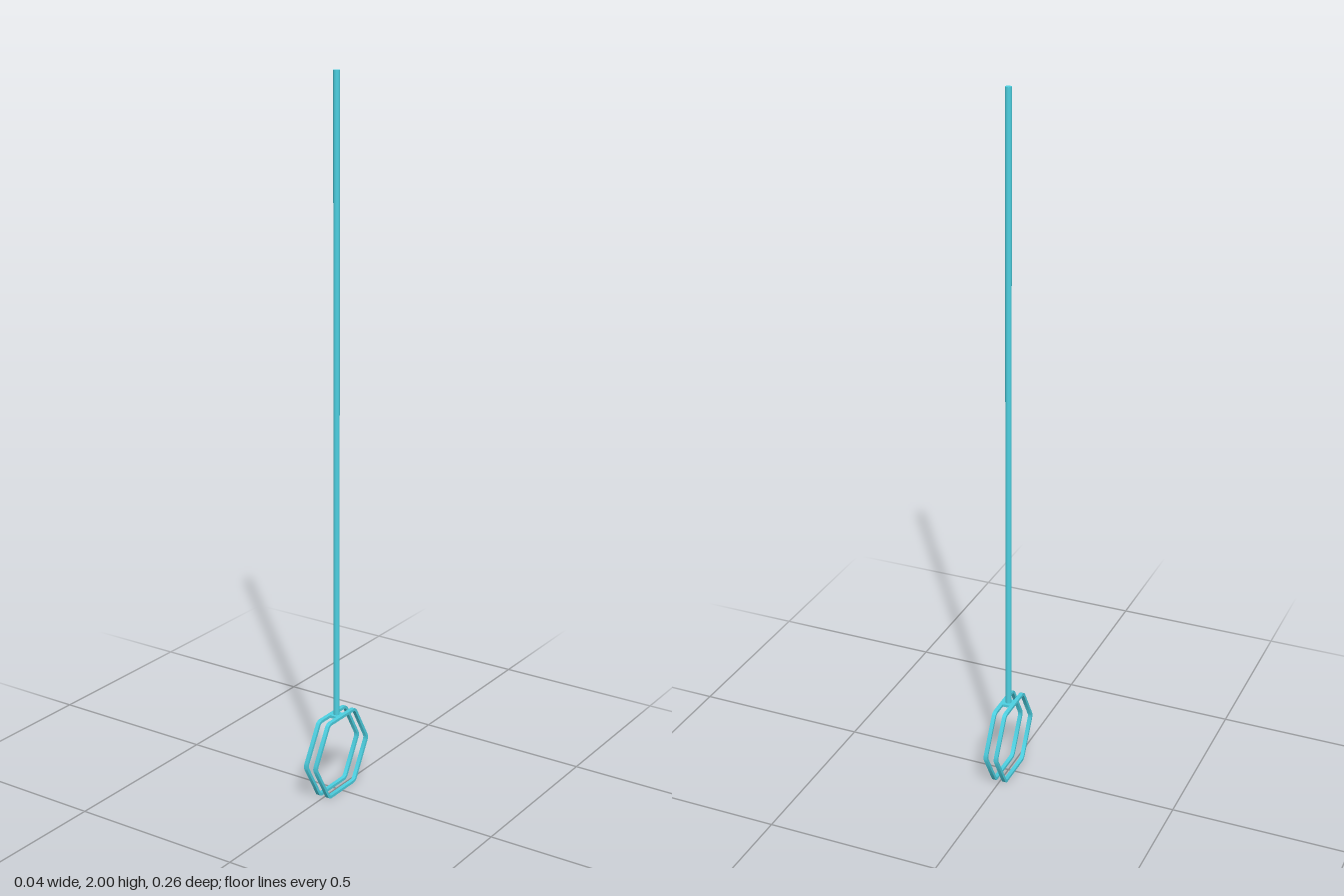
import * as THREE from 'three';
import { toCreasedNormals } from 'three/addons/utils/BufferGeometryUtils.js';

const APOTHEM = 0.115, WALL = 0.008, RING_WIDTH = 0.011, RING_X = 0.0155;

// Hexagon with rounded corners, flat side up
function roundedHexagon(target, apothem, corner) {
  const inner = (apothem - corner) / Math.cos(Math.PI / 6);
  for (let i = 0; i < 6; i++) {
    const a = i * Math.PI / 3;
    target.absarc(inner * Math.cos(a), inner * Math.sin(a), corner, a - Math.PI / 6, a + Math.PI / 6, false);
  }
  target.closePath();
  return target;
}

export function createModel() {
  const group = new THREE.Group();
  const material = new THREE.MeshStandardMaterial({ color: 0x4dd0e1 });
  const add = (name, geometry, x, y, z) => {
    const mesh = new THREE.Mesh(geometry, material);
    mesh.name = name;
    mesh.position.set(x, y, z);
    group.add(mesh);
  };

  // Pair of hexagonal hoops, side by side
  const outline = roundedHexagon(new THREE.Shape(), APOTHEM, 0.02);
  outline.holes.push(roundedHexagon(new THREE.Path(), APOTHEM - WALL, 0.012));
  let hoop = new THREE.ExtrudeGeometry(outline, { depth: RING_WIDTH, bevelEnabled: false, curveSegments: 6 });
  hoop.translate(0, 0, -RING_WIDTH / 2);
  hoop.rotateY(Math.PI / 2);
  hoop = toCreasedNormals(hoop, Math.PI / 5);
  add('leftHoop', hoop, RING_X, APOTHEM, 0);
  add('rightHoop', hoop, -RING_X, APOTHEM, 0);

  // Bridge joining the hoops under the rod
  const top = APOTHEM * 2;
  add('bridge', new THREE.BoxGeometry(RING_X * 2, WALL, 0.033), 0, top - WALL / 2, 0);

  // Long straight handle
  const length = 2 - top + WALL / 2;
  add('handleRod', new THREE.CylinderGeometry(0.0085, 0.0085, length, 24), 0, 2 - length / 2, 0);

  return group;
}
